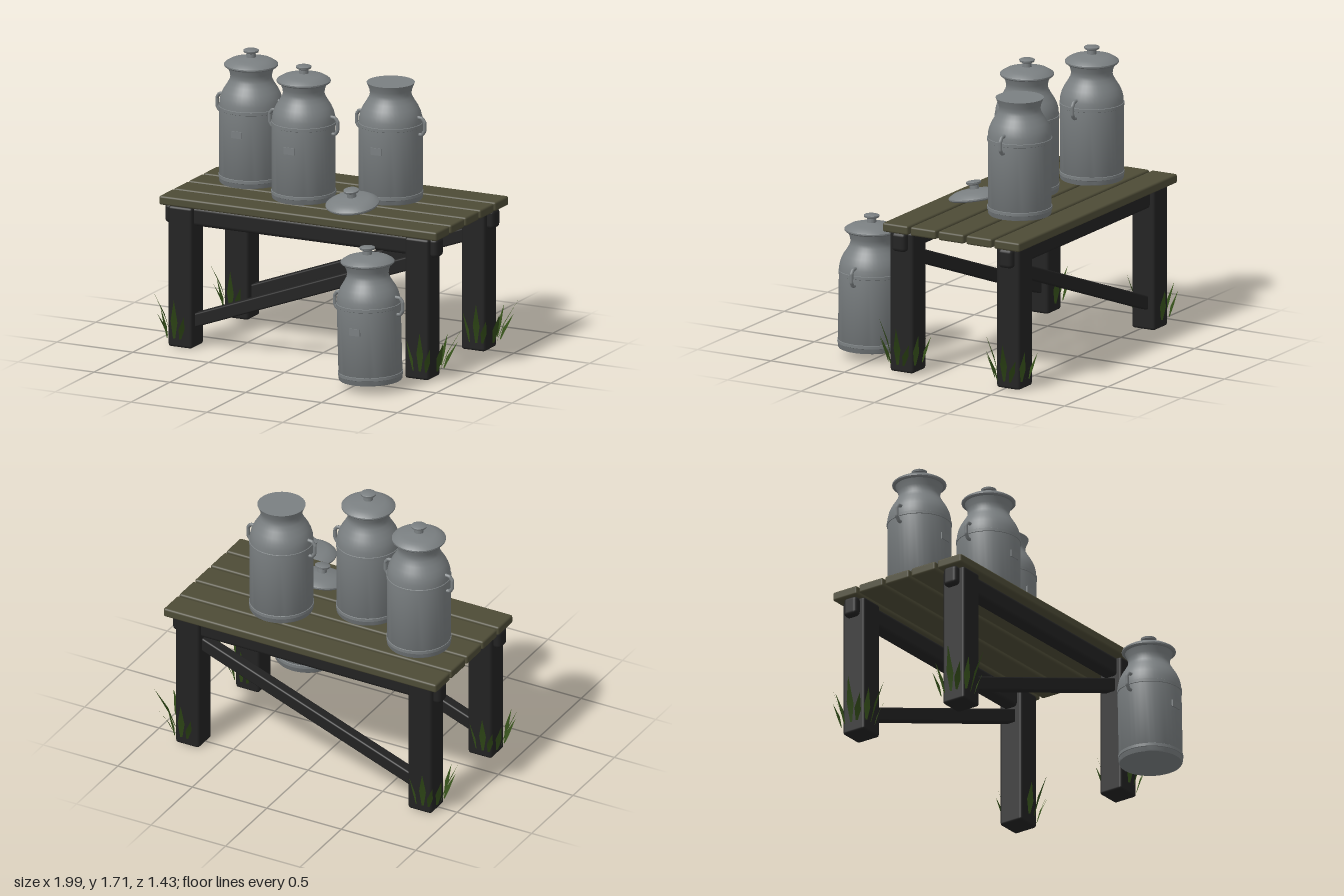
import * as THREE from 'three';
import { toCreasedNormals } from 'three/addons/utils/BufferGeometryUtils.js';
import { RoundedBoxGeometry } from 'three/addons/geometries/RoundedBoxGeometry.js';

const mat = (name, color, extra = {}) => {
  const m = new THREE.MeshStandardMaterial({ color, ...extra });
  m.name = name;
  return m;
};

export function createModel() {
  const model = new THREE.Group();
  model.name = 'milkCanBench';
  const plankWood = mat('mossyWood', 0x4d4b36);
  const frameWood = mat('darkWood', 0x222222);
  const steel = mat('dullSteel', 0x7a7f81);
  const grass = mat('grassGreen', 0x35501a, { side: THREE.DoubleSide });

  const add = (parent, name, geometry, material, x = 0, y = 0, z = 0) => {
    const mesh = new THREE.Mesh(geometry, material);
    mesh.name = name;
    mesh.position.set(x, y, z);
    parent.add(mesh);
    return mesh;
  };
  const lathe = (points) => toCreasedNormals(
    new THREE.LatheGeometry(points.map(([r, y]) => new THREE.Vector2(r, y)), 40), 0.6);

  // Table top
  const plank = new RoundedBoxGeometry(1.83, 0.055, 0.173, 2, 0.012);
  for (let i = 0; i < 5; i++) add(model, 'plank', plank, plankWood, -0.015, 0.885, -0.545 + i * 0.19);

  // Legs, rails and diagonal braces
  const leg = new RoundedBoxGeometry(0.157, 0.855, 0.157, 2, 0.016);
  const rail = new RoundedBoxGeometry(1.8, 0.118, 0.095, 2, 0.024);
  const a = new THREE.Vector2(-0.78, 0.144), b = new THREE.Vector2(0.74, 0.706);
  const brace = new RoundedBoxGeometry(a.distanceTo(b), 0.08, 0.07, 2, 0.01);
  const legX = [-0.8, 0.76], legZ = [0.208, -0.518];
  for (const z of legZ) {
    for (const x of legX) add(model, 'leg', leg, frameWood, x, 0.4275, z);
    add(model, 'rail', rail, frameWood, -0.02, 0.799, z);
    add(model, 'brace', brace, frameWood, (a.x + b.x) / 2, (a.y + b.y) / 2, z)
      .rotation.z = Math.atan2(b.y - a.y, b.x - a.x);
  }

  // Milk can parts
  const canBody = lathe([[0, 0], [0.183, 0], [0.188, 0.008], [0.188, 0.46], [0.186, 0.495], [0.178, 0.527],
    [0.163, 0.56], [0.142, 0.593], [0.127, 0.62], [0.122, 0.64], [0.126, 0.665], [0.14, 0.7], [0.142, 0.705], [0, 0.705]]);
  const band = lathe([[0.186, -0.012], [0.1915, -0.009], [0.1915, 0.009], [0.186, 0.012]]);
  const lidShape = lathe([[0, 0], [0.152, 0], [0.159, 0.007], [0.159, 0.015], [0.152, 0.022],
    [0.125, 0.038], [0.1, 0.045], [0.028, 0.055], [0.027, 0.078], [0.044, 0.086], [0.046, 0.097], [0.04, 0.101], [0, 0.101]]);
  const handlePath = new THREE.CurvePath();
  const bends = [[0.175, 0.51], [0.208, 0.507], [0.224, 0.485], [0.224, 0.432], [0.208, 0.408], [0.175, 0.405]]
    .map(([x, y]) => new THREE.Vector3(x, y, 0));
  for (let i = 0; i < 5; i++) handlePath.add(new THREE.LineCurve3(bends[i], bends[i + 1]));
  const handle = new THREE.TubeGeometry(handlePath, 24, 0.011, 8);
  const tag = new THREE.BoxGeometry(0.07, 0.042, 0.009);

  function makeCan(x, y, z, lidded) {
    const can = new THREE.Group();
    can.name = 'milkCan';
    can.position.set(x, y, z);
    add(can, 'canBody', canBody, steel);
    for (const h of [0.04, 0.455]) add(can, 'canBand', band, steel, 0, h, 0);
    add(can, 'leftHandle', handle, steel);
    add(can, 'rightHandle', handle, steel).rotation.y = Math.PI;
    add(can, 'frontTag', tag, steel, 0, 0.325, 0.188);
    if (lidded) add(can, 'canLid', lidShape, steel, 0, 0.7, 0);
    model.add(can);
    return can;
  }
  makeCan(-0.6, 0.911, -0.242, true);
  makeCan(-0.16, 0.911, -0.06, true);
  makeCan(0.3, 0.911, -0.282, false);
  makeCan(0.6, 0.052, 0.563, true).rotation.z = 0.028;

  // Loose lid leaning on the planks
  const loose = add(model, 'looseLid', lidShape, steel, 0.225, 0.94, 0.062);
  loose.rotation.set(0.17, 0, 0.02);

  // Grass blades: a bent leaf from base to tip, leaning along local +z
  function blade(h, lean, w) {
    const g = new THREE.BufferGeometry();
    g.setAttribute('position', new THREE.Float32BufferAttribute([
      -w * 0.3, 0, 0, w * 0.3, 0, 0, w, h * 0.4, lean * 0.3, 0, h, lean, -w, h * 0.45, lean * 0.35], 3));
    g.setIndex([0, 1, 2, 0, 2, 4, 4, 2, 3]);
    g.computeVertexNormals();
    return g;
  }
  // Each blade: sideways offset, height, lean, yaw
  const blades = [[-0.045, 0.19, 0.05, -0.6], [0, 0.255, 0.085, 0.45], [0.04, 0.15, 0.06, 0.9]];
  function tuft(x, z, angle, scale) {
    const group = new THREE.Group();
    group.name = 'grassTuft';
    group.position.set(x, 0.055, z);
    group.rotation.y = angle;
    for (const [dx, h, lean, yaw] of blades) {
      add(group, 'grassBlade', blade(h, lean * scale, 0.02), grass, dx, 0, 0).rotation.y = yaw;
    }
    model.add(group);
  }
  for (const x of legX) for (const z of legZ) {
    const side = Math.sign(x);
    tuft(x + side * 0.03, z + 0.092, 0, 0.9);
    tuft(x + side * 0.03, z - 0.092, Math.PI, 0.9);
    tuft(x + side * (side > 0 ? 0.12 : 0.1), z, side * Math.PI / 2, side > 0 ? 1.5 : 1.2);
  }
  return model;
}
